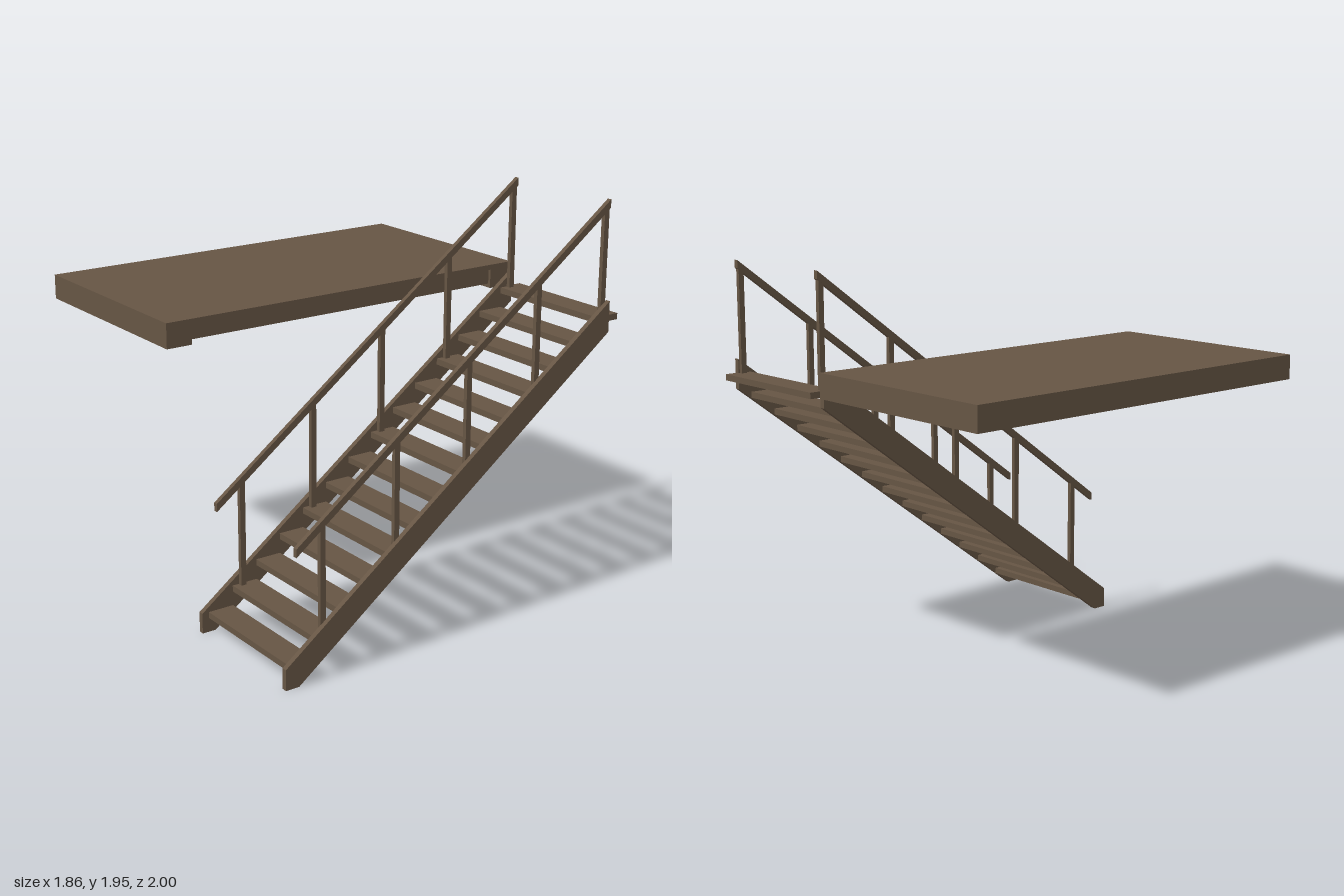
import * as THREE from 'three';

export function createModel() {
  const group = new THREE.Group();
  const wood = new THREE.MeshStandardMaterial({ color: 0x665544 });
  wood.name = 'brownWood';

  const add = (geometry, name) => {
    const mesh = new THREE.Mesh(geometry, wood);
    mesh.name = name;
    group.add(mesh);
    return mesh;
  };
  // Box given by its minimum and maximum on each axis
  const box = (name, x0, x1, y0, y1, z0, z1) => {
    const mesh = add(new THREE.BoxGeometry(x1 - x0, y1 - y0, z1 - z0), name);
    mesh.position.set((x0 + x1) / 2, (y0 + y1) / 2, (z0 + z1) / 2);
    return mesh;
  };
  // Side profile of [z, y] points, extruded from x0 to x1
  const sidePlate = (name, points, x0, x1) => {
    const shape = new THREE.Shape(points.map(([z, y]) => new THREE.Vector2(-z, y)));
    const geometry = new THREE.ExtrudeGeometry(shape, { depth: x1 - x0, bevelEnabled: false });
    geometry.rotateY(Math.PI / 2);
    geometry.translate(x0, 0, 0);
    return add(geometry, name);
  };

  // Platform deck with its supporting frame
  box('platformDeck', -0.93, 0.15, 1.475, 1.5, -1, 1);
  box('outerBeam', -0.93, -0.85, 1.38, 1.475, -0.87, 0.87);
  box('innerBeam', 0.065, 0.135, 1.4, 1.475, -0.87, 0.87);
  for (const s of [-1, 1]) {
    box('endBeam', -0.93, 0.15, 1.38, 1.475, s > 0 ? 0.87 : -1, s > 0 ? 1 : -0.87);
    // Diagonal corner braces under the deck
    for (const [edge, dir] of [[-0.85, 1], [0.065, -1]]) {
      const corners = [
        [edge, 0.45], [edge + dir * 0.32, 0.87], [edge + dir * 0.24, 0.87], [edge, 0.555],
      ];
      const shape = new THREE.Shape(corners.map(([x, z]) => new THREE.Vector2(x, -s * z)));
      const geometry = new THREE.ExtrudeGeometry(shape, { depth: 0.09, bevelEnabled: false });
      geometry.rotateX(-Math.PI / 2);
      geometry.translate(0, 1.385, 0);
      add(geometry, 'cornerBrace');
    }
  }

  // Open treads
  const treads = 14, rise = 0.1, going = 0.1335;
  for (let i = 0; i < treads; i++) {
    const front = 0.865 - i * going, top = rise * (i + 1);
    box('tread', 0.22, 0.915, top - 0.03, top, front - going, front);
  }

  // Stringers, handrails and posts on both sides
  const stringer = [[0.9, 0], [0.83, 0], [-0.94, 1.32], [-0.94, 1.47], [0.9, 0.1]];
  const rail = [[0.825, 0.6], [-0.94, 1.91], [-0.94, 1.95], [0.825, 0.64]];
  for (const [sx, rx] of [[0.205, 0.235], [0.9, 0.88]]) {
    sidePlate('stringer', stringer, sx, sx + 0.026);
    sidePlate('handrail', rail, rx, rx + 0.023);
    for (let i = 0; i < 5; i++) {
      const z = 0.685 - i * 0.401, foot = 0.2 + i * 0.3;
      const railY = 0.61 + (0.825 - z) * (1.31 / 1.765);
      box('railPost', rx + 0.001, rx + 0.022, foot, railY + 0.005, z - 0.014, z + 0.014);
    }
  }
  return group;
}
